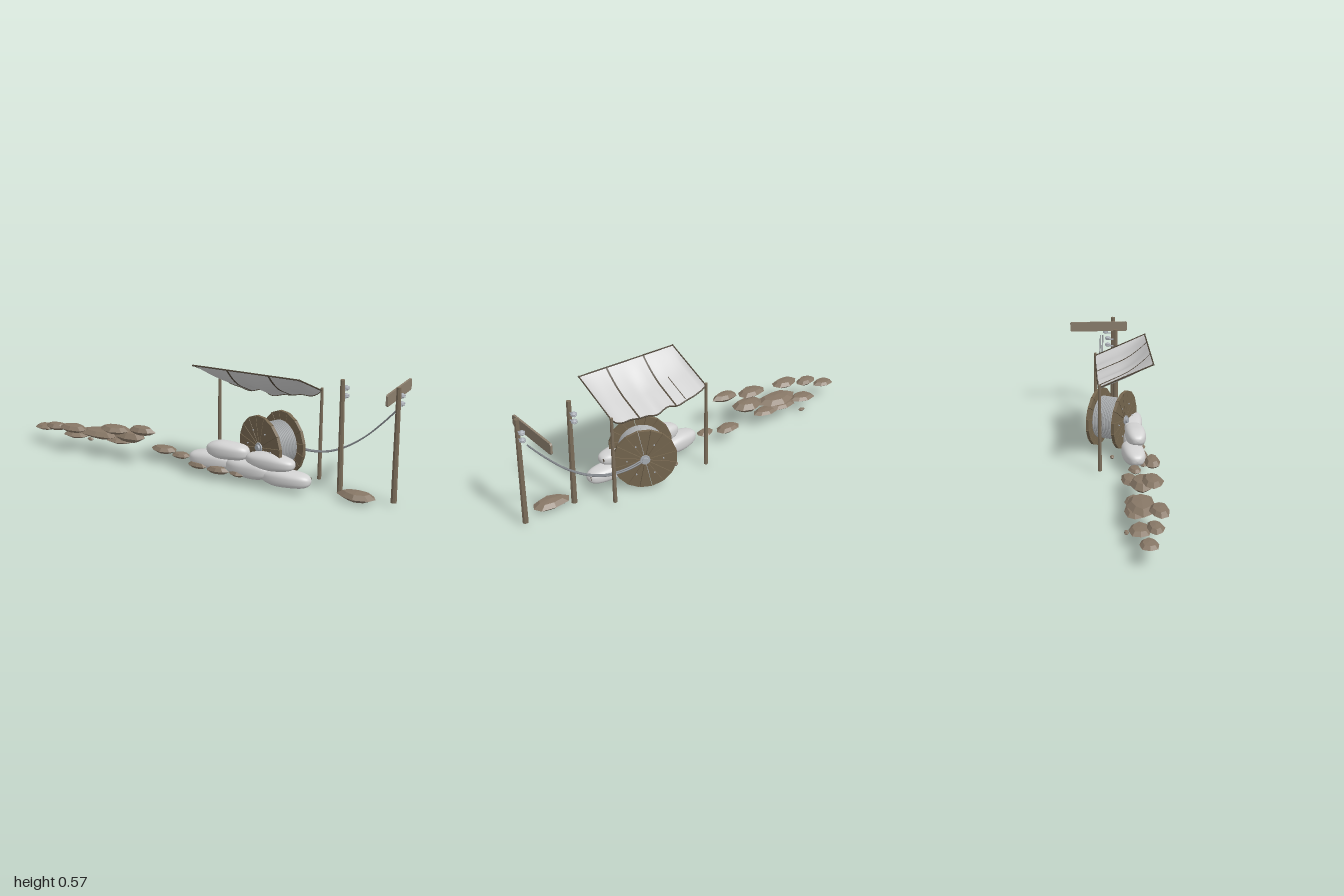
import * as THREE from 'three';

const mat = (name, color, extra = {}) => {
  const m = new THREE.MeshStandardMaterial({ color, ...extra });
  m.name = name;
  return m;
};

export function createModel() {
  const root = new THREE.Group();
  root.name = 'fieldCableStation';
  const wood = mat('wood', 0x7b6d5a, { flatShading: true });
  const reelWood = mat('reelWood', 0x75664f, { flatShading: true });
  const plankWood = mat('plankWood', 0x8b7e6d, { flatShading: true });
  const stone = mat('stone', 0x877766, { flatShading: true });
  const cloth = mat('cloth', 0xd0d0d0, { side: THREE.DoubleSide });
  const sack = mat('sack', 0xd2d2d2);
  const strap = mat('strap', 0x50473a, { side: THREE.DoubleSide });
  const steel = mat('steel', 0xa9aeb5);
  const cableGrey = mat('cable', 0x85898e);
  const windingGrey = mat('winding', 0xa9acae);

  const add = (name, geo, material, x = 0, y = 0, z = 0, parent = root) => {
    const m = new THREE.Mesh(geo, material);
    m.name = name;
    m.position.set(x, y, z);
    parent.add(m);
    return m;
  };
  const V = (x, y, z) => new THREE.Vector3(x, y, z);
  const tube = (name, pts, r, material, seg = 32) =>
    add(name, new THREE.TubeGeometry(new THREE.CatmullRomCurve3(pts), seg, r, 6), material);

  // Flat angular stones: x, y, z, half width, half depth, half height
  const stones = [
    [-0.94, 0.088, 0.09, 0.06, 0.045, 0.016], [-0.84, 0.115, 0.125, 0.065, 0.04, 0.02],
    [-0.71, 0.133, 0.155, 0.085, 0.045, 0.022], [-0.76, 0.067, 0.065, 0.08, 0.05, 0.018],
    [-0.71, 0.03, 0.01, 0.02, 0.012, 0.009], [-0.59, 0.105, 0.085, 0.12, 0.07, 0.025],
    [-0.6, 0.08, 0.05, 0.09, 0.045, 0.018], [-0.46, 0.163, 0.145, 0.09, 0.05, 0.022],
    [-0.4, 0.125, 0.1, 0.095, 0.055, 0.032], [-0.29, 0.187, 0.158, 0.075, 0.04, 0.024],
    [-0.225, 0.068, 0.055, 0.07, 0.045, 0.02], [-0.105, 0.068, 0.09, 0.05, 0.033, 0.016],
    [-0.49, 0.075, 0.06, 0.08, 0.045, 0.016], [0.82, 0.027, 0.085, 0.1, 0.052, 0.025],
    [0.02, 0.055, 0.14, 0.055, 0.03, 0.018], [0.13, 0.05, 0.145, 0.06, 0.03, 0.02],
    [0.24, 0.05, 0.14, 0.05, 0.03, 0.016], [0.16, 0.028, -0.008, 0.018, 0.011, 0.01],
  ];
  stones.forEach(([x, y, z, w, d, h], i) => {
    const profile = [[0, -1], [0.55, -0.8], [1, -0.05], [0.66, 0.75], [0, 0.95]];
    const g = new THREE.LatheGeometry(profile.map(p => new THREE.Vector2(...p)), 8);
    const p = g.attributes.position;
    for (let k = 0; k < p.count; k++) {
      const px = p.getX(k), pz = p.getZ(k), a = Math.atan2(pz, px);
      const s = 0.98 + 0.07 * Math.cos(3 * a + i * 2.1) + 0.05 * Math.cos(2 * a + i * 1.3);
      p.setXYZ(k, px * s * w, p.getY(k) * h, pz * s * d);
    }
    g.computeVertexNormals();
    add('stone', g, stone, x, y, z);
  });

  // Stacked sandbags: x, y, z, half length, half height, half depth, yaw
  const bags = [
    [0.075, 0.082, 0.095, 0.118, 0.045, 0.056, 0.12], [0.28, 0.075, 0.11, 0.12, 0.045, 0.052, -0.06],
    [0.475, 0.06, 0.108, 0.125, 0.041, 0.053, 0.03], [0.17, 0.148, 0.112, 0.11, 0.043, 0.052, 0.05],
    [0.395, 0.13, 0.112, 0.128, 0.039, 0.053, -0.05],
  ];
  bags.forEach(([x, y, z, l, h, d, yaw]) => {
    const g = new THREE.SphereGeometry(1, 32, 20);
    g.rotateZ(Math.PI / 2);
    const p = g.attributes.position;
    const soft = (v, e) => Math.sign(v) * Math.abs(v) ** e;
    for (let k = 0; k < p.count; k++) {
      const px = p.getX(k);
      const bulge = 1 + 0.04 * Math.sin(px * 5 + x * 20);
      p.setXYZ(k, soft(px, 0.9) * l, soft(p.getY(k), 0.75) * h * bulge, soft(p.getZ(k), 0.75) * d);
    }
    g.computeVertexNormals();
    add('sandbag', g, sack, x, y, z).rotation.y = yaw;
    const tie = add('sandbagTie', new THREE.BoxGeometry(0.005, 0.016, 0.004), strap, x + l * 0.94, y + 0.008, z - 0.022);
    tie.rotation.x = 0.3;
  });

  // Cable reel, its axle along local z
  const reel = new THREE.Group();
  reel.name = 'cableReel';
  reel.position.set(0.35, 0.173, -0.001);
  reel.rotation.y = -0.46;
  root.add(reel);
  const R = 0.156, N = 16, step = Math.PI * 2 / N;
  const wedge = new THREE.Shape([
    new THREE.Vector2(0.008, 0),
    new THREE.Vector2(R * Math.cos(step * 0.48), -R * Math.sin(step * 0.48)),
    new THREE.Vector2(R * Math.cos(step * 0.48), R * Math.sin(step * 0.48)),
  ]);
  const wedgeGeo = new THREE.ExtrudeGeometry(wedge, { depth: 0.016, bevelEnabled: false });
  wedgeGeo.translate(0, 0, -0.008);
  for (const side of [-1, 1]) {
    for (let i = 0; i < N; i++) {
      add('flangePlank', wedgeGeo, reelWood, 0, 0, side * 0.071, reel).rotation.z = i * step;
    }
    add('hubPlate', new THREE.CylinderGeometry(0.024, 0.024, 0.007, 16), steel, 0, 0, side * 0.081, reel).rotation.x = Math.PI / 2;
  }
  // Tie rods clamping both flanges
  for (let i = 0; i < 6; i++) {
    const a = i * Math.PI / 3;
    add('tieRod', new THREE.CylinderGeometry(0.0035, 0.0035, 0.168, 8), steel,
      Math.cos(a) * 0.088, Math.sin(a) * 0.088, 0, reel).rotation.x = Math.PI / 2;
  }
  add('axle', new THREE.CylinderGeometry(0.015, 0.015, 0.19, 14), steel, 0, 0, 0, reel).rotation.x = Math.PI / 2;
  add('drum', new THREE.CylinderGeometry(0.107, 0.107, 0.128, 32), windingGrey, 0, 0, 0, reel).rotation.x = Math.PI / 2;
  for (let i = 0; i < 14; i++) {
    add('cableWinding', new THREE.TorusGeometry(0.107, 0.0048, 6, 36), windingGrey, 0, 0, -0.0585 + i * 0.009, reel);
  }

  // Twin cables sagging from the reel to the far pole
  for (const o of [0, 0.013]) {
    tube('cable', [V(0.39, 0.172, -0.076 + o), V(0.45, 0.158, -0.073 + o), V(0.52, 0.153, -0.068 + o),
      V(0.61, 0.165, -0.062 + o), V(0.7, 0.203, -0.055 + o), V(0.8, 0.272, -0.048 + o),
      V(0.9, 0.37, -0.039 + o), V(0.97, 0.45, -0.032 + o)], 0.004, cableGrey, 48);
  }

  // Line poles with bracketed insulators
  const bell = [[0, -0.011], [0.006, -0.011], [0.009, -0.007], [0.015, -0.005], [0.015, -0.002], [0.008, 0],
    [0.015, 0.002], [0.015, 0.005], [0.008, 0.007], [0.006, 0.011], [0, 0.012]];
  const bellGeo = new THREE.LatheGeometry(bell.map(p => new THREE.Vector2(...p)), 14);
  for (const x of [0.717, 0.98]) {
    const pole = add('linePole', new THREE.CylinderGeometry(0.0115, 0.0145, 0.542, 8), wood, x, 0.283, 0.04);
    pole.rotation.z = x < 0.9 ? 0.012 : 0.008;
    for (const y of [0.506, 0.469]) {
      add('insulator', bellGeo, steel, x, y, -0.003);
      add('insulatorBracket', new THREE.BoxGeometry(0.006, 0.005, 0.055), steel, x, y - 0.008, 0.015);
    }
  }

  // Cross plank with clipped corners
  const plank = new THREE.Shape();
  const hw = 0.1625, hh = 0.027, c = 0.007;
  [[-hw + c, -hh], [hw - c, -hh], [hw, -hh + c], [hw, hh - c], [hw - c, hh], [-hw + c, hh], [-hw, hh - c], [-hw, -hh + c]]
    .forEach(([a, b], i) => (i ? plank.lineTo(a, b) : plank.moveTo(a, b)));
  const plankGeo = new THREE.ExtrudeGeometry(plank, { depth: 0.01, bevelEnabled: false });
  plankGeo.rotateY(Math.PI / 2);
  add('crossPlank', plankGeo, plankWood, 0.947, 0.508, -0.043);

  // Awning posts
  for (const x of [0.022, 0.567]) {
    add('awningPost', new THREE.CylinderGeometry(0.0075, 0.0105, 0.454, 8), wood, x, 0.239, -0.077);
  }

  // Sagging awning: u runs along x, v from the raised front edge to the back
  const tarp = (u, v, lift = 0) => {
    const t = v * 0.265;
    const hang = Math.min(1, t / 0.15), ease = hang * (2 - hang);
    const across = Math.sqrt(Math.max(0, Math.sin(Math.PI * u)));
    const wave = (0.007 * Math.sin(u * 19) + 0.005 * Math.sin(u * 31 + 1)) * v * across;
    return V(0.022 + 0.543 * u, 0.567 - 0.43 * t - 0.05 * ease * across + wave + lift, 0.188 - t);
  };
  const sheet = (name, u0, u1, v0, v1, nu, nv, lift, material) => {
    const g = new THREE.PlaneGeometry(1, 1, nu, nv);
    const p = g.attributes.position;
    for (let k = 0; k < p.count; k++) {
      const q = tarp(u0 + (u1 - u0) * (p.getX(k) + 0.5), v1 + (v0 - v1) * (0.5 - p.getY(k)), lift);
      p.setXYZ(k, q.x, q.y, q.z);
    }
    g.computeVertexNormals();
    return add(name, g, material);
  };
  sheet('awningCloth', 0, 1, 1, 0, 40, 20, 0, cloth);
  for (const u of [0.33, 0.72]) {
    for (const lift of [0.002, -0.002]) sheet('awningStrap', u - 0.009, u + 0.009, 1, 0, 2, 20, lift, strap);
  }
  sheet('awningSeam', 0.215, 0.223, 0.98, 0.45, 1, 12, 0.002, strap);
  const edge = f => Array.from({ length: 25 }, (_, i) => f(i / 24));
  for (const e of [0, 1]) {
    tube('awningHem', edge(s => tarp(s, e)), 0.0035, strap, 40);
    tube('awningSideHem', edge(s => tarp(e, s)), 0.0035, strap, 24);
    add('awningCornerKnob', new THREE.SphereGeometry(0.005, 10, 8), strap, 0.022 + 0.543 * e, 0.567, 0.188);
  }
  return root;
}
